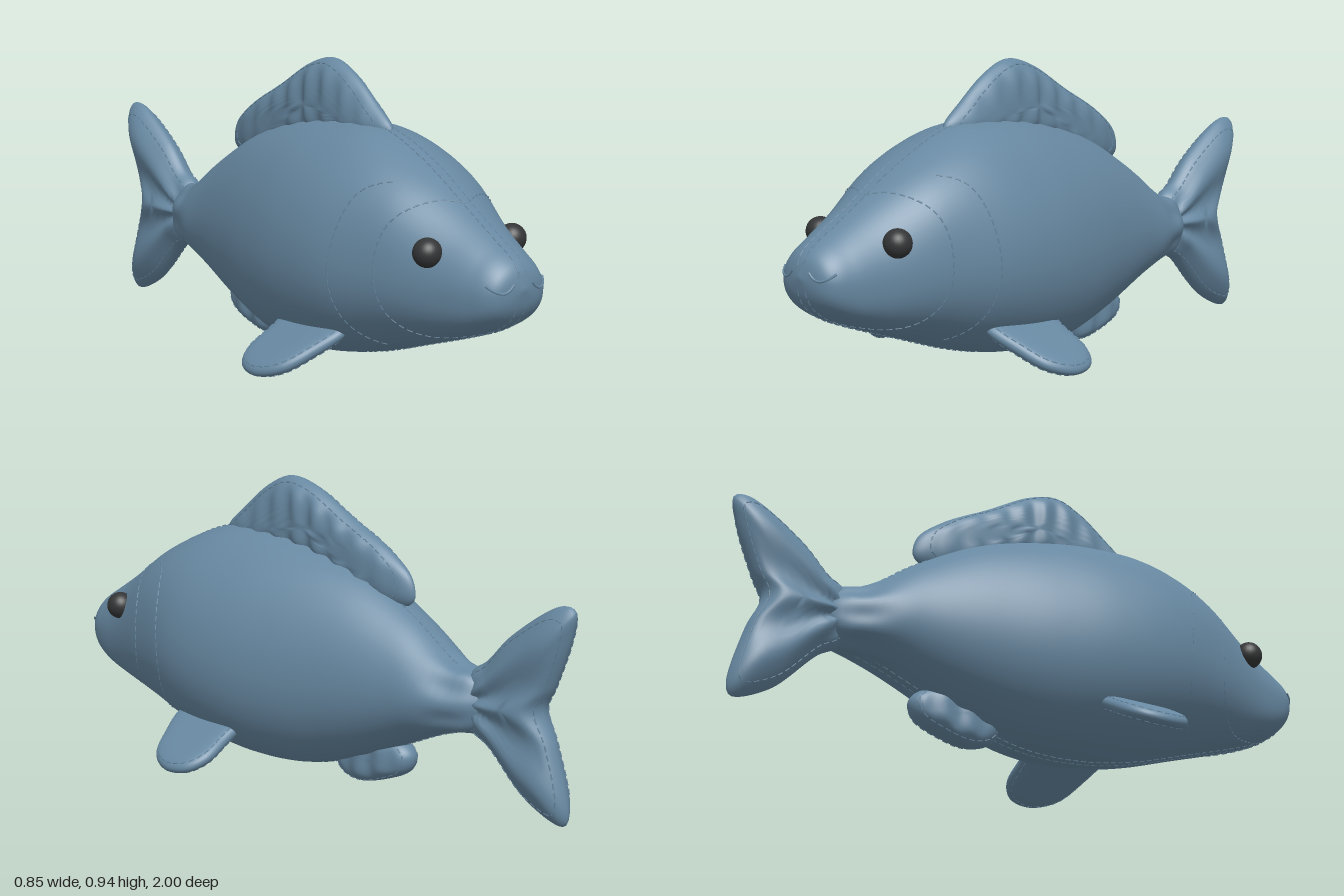
import * as THREE from 'three';
import { mergeVertices, mergeGeometries } from 'three/addons/utils/BufferGeometryUtils.js';

const mat = (name, color) => new THREE.MeshStandardMaterial({ name, color });

// Body profile: z, bottom, top, half width
const PROFILE = [
  [1, 0.37, 0.37, 0], [0.988, 0.315, 0.42, 0.07], [0.96, 0.272, 0.455, 0.11], [0.9, 0.232, 0.492, 0.138],
  [0.8, 0.193, 0.552, 0.17], [0.6, 0.128, 0.675, 0.244], [0.4, 0.066, 0.755, 0.303], [0.2, 0.03, 0.762, 0.308],
  [0, 0.032, 0.732, 0.275], [-0.2, 0.085, 0.67, 0.222], [-0.4, 0.165, 0.56, 0.166], [-0.5, 0.205, 0.488, 0.142],
  [-0.58, 0.228, 0.44, 0.108], [-0.65, 0.24, 0.425, 0.077], [-0.69, 0.29, 0.38, 0.045], [-0.71, 0.335, 0.335, 0],
];

// Smooth interpolation of the profile at a given z
function section(z) {
  const P = PROFILE, last = P.length - 1;
  let i = 0;
  while (i < last - 1 && z < P[i + 1][0]) i++;
  const a = P[i], b = P[i + 1], span = b[0] - a[0], t = (z - a[0]) / span;
  const slope = (k, c) => {
    const p = P[Math.max(k - 1, 0)], q = P[Math.min(k + 1, last)];
    return (q[c] - p[c]) / (q[0] - p[0]);
  };
  const at = (c) => {
    const t2 = t * t, t3 = t2 * t;
    return (2 * t3 - 3 * t2 + 1) * a[c] + (t3 - 2 * t2 + t) * span * slope(i, c)
      + (3 * t2 - 2 * t3) * b[c] + (t3 - t2) * span * slope(i + 1, c);
  };
  const lo = at(1), hi = at(2);
  return { cy: (lo + hi) / 2, h: Math.max(0, (hi - lo) / 2), w: Math.max(0, at(3)) };
}

// Point on the body skin: egg-shaped, fuller cheeks and chin, soft folds at the tail root
const bump = (z, centre, width) => Math.exp(-(((z - centre) / width) ** 2));
function skin(z, angle) {
  const s = section(z), cos = Math.cos(angle), sin = Math.sin(angle);
  const fold = 1 + 0.05 * Math.sin(7 * angle + 1) * bump(z, -0.6, 0.07);
  const full = 1 + sin * sin * (sin > 0 ? 0.22 * bump(z, 0.6, 0.15) : 0.3 * bump(z, 0.88, 0.16));
  return new THREE.Vector3(s.w * fold * full * cos,
    s.cy - 0.1 * s.h * cos ** 2 + s.h * fold * sin, z);
}

// Closed grid of points: i runs around, j runs along
function gridGeometry(around, along, point) {
  const pos = [], idx = [];
  for (let j = 0; j <= along; j++)
    for (let i = 0; i < around; i++) pos.push(...point(i, j).toArray());
  for (let j = 0; j < along; j++)
    for (let i = 0; i < around; i++) {
      const k = (i + 1) % around, a = j * around + i, b = j * around + k;
      const c = a + around, d = b + around;
      idx.push(a, b, c, b, d, c);
    }
  let g = new THREE.BufferGeometry();
  g.setAttribute('position', new THREE.Float32BufferAttribute(pos, 3));
  g.setIndex(idx);
  g = mergeVertices(g, 1e-5);
  g.computeVertexNormals();
  return g;
}

// Row of short stitches along a path
function stitches(points) {
  const curve = new THREE.CatmullRomCurve3(points);
  const n = Math.max(3, Math.round(curve.getLength() / 0.028));
  const dashes = [];
  for (let i = 0; i < n; i++) {
    const line = new THREE.LineCurve3(curve.getPointAt(i / n), curve.getPointAt((i + 0.65) / n));
    dashes.push(new THREE.TubeGeometry(line, 1, 0.0025, 5));
  }
  return mergeGeometries(dashes);
}

// Stuffed fin from an outline: rounded rim, puffed middle, stitched edge
function stuffedFin(outline, centre, rim, puff, ripple = () => 1) {
  const N = 140, M = 16;
  const curve = new THREE.CatmullRomCurve3(outline.map(([u, v]) => new THREE.Vector3(u, v, 0)), true);
  let pts = curve.getSpacedPoints(N).slice(0, N);
  if (THREE.ShapeUtils.area(pts) < 0) pts = pts.reverse();
  const c = new THREE.Vector3(centre[0], centre[1], 0);
  const at = (i, s, side) => {
    const p = c.clone().lerp(pts[i % N], s);
    const wave = 1 + (ripple(p.x, p.y) - 1) * Math.min(1, 3 * (1 - s));
    p.z = side * (rim * Math.sqrt(1 - s ** 8) + puff * (1 - s ** 4) * wave);
    return p;
  };
  const fin = gridGeometry(N, 2 * M, (i, j) => {
    const a = (j - M) / M;
    return at(i, 1 - a * a, Math.sign(a));
  });
  const seam = mergeGeometries([1, -1].map((side) =>
    stitches(Array.from({ length: N + 1 }, (_, i) => at(i, 0.89, side)))));
  return { fin, seam };
}

export function createModel() {
  const group = new THREE.Group();
  const cloth = mat('blue cloth', 0x6788a1);
  const bead = mat('dark bead', 0x343536);
  const add = (name, geometry, material = cloth) => {
    const m = new THREE.Mesh(geometry, material);
    m.name = name;
    group.add(m);
    return m;
  };

  // Body
  const R = 72, L = 96;
  add('body', gridGeometry(R, L, (i, j) =>
    skin(1 - 1.71 * (j / L) ** 1.5, -(i / R) * Math.PI * 2)));

  // Fins on the centre line, outlined as z, y
  const centreFin = (name, outline, centre, rim, puff, ripple) => {
    const parts = stuffedFin(outline.map(([z, y]) => [-z, y]), [-centre[0], centre[1]], rim, puff, ripple);
    add(name, parts.fin.rotateY(Math.PI / 2));
    add(name + 'Stitching', parts.seam.rotateY(Math.PI / 2));
  };
  centreFin('dorsalFin', [[0.41, 0.745], [0.325, 0.83], [0.22, 0.908], [0.13, 0.942], [0.03, 0.92], [-0.13, 0.832],
    [-0.29, 0.745], [-0.375, 0.67], [-0.385, 0.605], [-0.34, 0.58], [-0.2, 0.62], [0, 0.69], [0.2, 0.715]],
  [0.04, 0.79], 0.024, 0.031, (u) => 1 + 0.25 * Math.sin(u * 74));
  centreFin('tailFin', [[-0.62, 0.42], [-0.68, 0.465], [-0.77, 0.555], [-0.95, 0.665], [-0.995, 0.655], [-0.983, 0.575],
    [-0.925, 0.42], [-0.89, 0.345], [-0.935, 0.235], [-0.985, 0.04], [-0.97, 0.008], [-0.85, 0.053],
    [-0.7, 0.195], [-0.62, 0.25]],
  [-0.78, 0.34], 0.025, 0.038, (u, v) => 1 + 0.3 * Math.cos(9 * Math.atan2(v - 0.335, u - 0.62)));
  centreFin('analFin', [[-0.08, 0.07], [-0.11, 0.025], [-0.18, 0.004], [-0.29, 0.027], [-0.375, 0.068],
    [-0.39, 0.115], [-0.35, 0.155], [-0.2, 0.15], [-0.1, 0.11]],
  [-0.23, 0.09], 0.036, 0.02, (u) => 1 + 0.25 * Math.sin(u * 70));

  // Pectoral fins slanting out and down, with mirrored eyes and nostrils
  const pectoral = stuffedFin([[-0.06, -0.43], [0.08, -0.405], [0.17, -0.36], [0.213, -0.28], [0.198, -0.2],
    [0.14, -0.158], [0.05, -0.155], [-0.06, -0.17]], [0.07, -0.28], 0.023, 0.003);
  for (const g of [pectoral.fin, pectoral.seam])
    g.rotateX(-Math.PI / 2).rotateZ(-0.51).translate(0.238, 0.139, 0);

  // Foremost skin point at a given x, y
  const faceAt = (x, y) => {
    let z = 1;
    for (; z > 0.5; z -= 0.001) {
      const s = section(z);
      if (s.w > 0 && (x / s.w) ** 2 + ((y - s.cy) / s.h) ** 2 < 1) break;
    }
    return new THREE.Vector3(x, y, z);
  };
  const nostril = new THREE.TubeGeometry(new THREE.CatmullRomCurve3(
    [[0.035, 0.388], [0.052, 0.372], [0.072, 0.366], [0.095, 0.374], [0.11, 0.388]].map((p) => faceAt(...p))), 16, 0.004, 6);

  for (const [side, sx] of [['left', 1], ['right', -1]]) {
    const put = (name, geometry, material) => { add(side + name, geometry, material).scale.x = sx; };
    put('PectoralFin', pectoral.fin);
    put('PectoralStitching', pectoral.seam);
    put('Eye', new THREE.SphereGeometry(0.044, 28, 20).translate(0.165, 0.46, 0.766), bead);
    put('Nostril', nostril);

    // Face and gill seams: angle in degrees, z
    const seam = (list) => stitches(new THREE.SplineCurve(list.map((p) => new THREE.Vector2(...p)))
      .getPoints(40).map((p) => skin(p.y, p.x * Math.PI / 180)));
    put('FaceSeam', seam([[88, 0.75], [60, 0.69], [30, 0.628], [0, 0.612], [-30, 0.64], [-60, 0.735], [-85, 0.9]]));
    put('GillSeam', seam([[60, 0.585], [40, 0.505], [0, 0.46], [-30, 0.475], [-65, 0.54]]));

    // Paired seams along the back and belly
    for (const [label, up] of [['Back', 1], ['Belly', -1]]) {
      const line = Array.from({ length: 60 }, (_, i) => {
        const z = 0.992 - 1.57 * (i / 59) ** 1.4;
        return skin(z, up * Math.acos(Math.min(1, 0.014 / section(z).w)));
      });
      put(label + 'Seam', stitches(line));
    }
  }
  return group;
}
